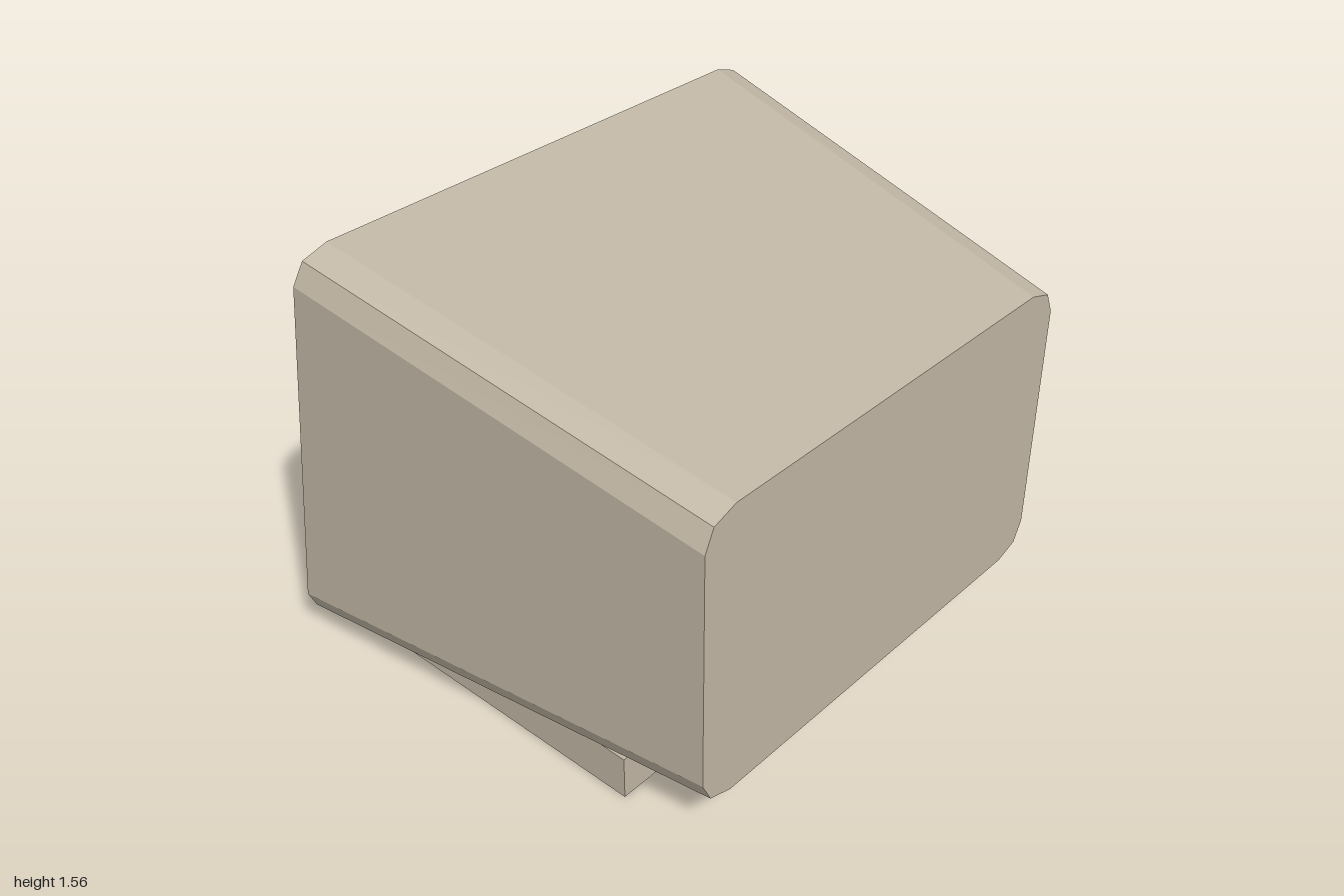
import * as THREE from 'three';

// Depth of the tilted display face at height y, pushed inwards by d
const faceZ = (y, d = 0) => -0.83 + 0.146 * (y - 0.085) + d;
const onFace = (ring, d) => ring.map(([x, y]) => new THREE.Vector3(x, y, faceZ(y, d)));

// Rectangle with two-step bevelled corners, counter-clockwise
function bevelRing(cx, cy, hw, hh) {
  const corner = [[0, 0.105], [0.035, 0.03], [0.125, 0]];
  const ring = [];
  for (const [sx, sy] of [[-1, -1], [1, -1], [1, 1], [-1, 1]]) {
    const pts = corner.map(([a, b]) => [cx + sx * (hw - a), cy + sy * (hh - b)]);
    ring.push(...(sx * sy > 0 ? pts : pts.reverse()));
  }
  return ring;
}

// Barrel-shaped tube outline: s and t run from -1 to 1
const barrel = (o, s, t) => [
  o.x + s * (o.hw + o.bulge * (1 - t * t)),
  o.y + t * (o.hh + o.bulge * (1 - s * s)),
];
function barrelRing(o, n) {
  const ring = [];
  for (let side = 0; side < 4; side++) {
    for (let i = 0; i < n; i++) {
      const k = -1 + (2 * i) / n;
      const [s, t] = [[k, -1], [1, k], [-k, 1], [-1, -k]][side];
      ring.push(barrel(o, s, t));
    }
  }
  return ring;
}

// Band of quads between two closed rings
function band(a, b) {
  const pos = [];
  a.forEach((p, i) => {
    const j = (i + 1) % a.length;
    for (const v of [p, b[i], b[j], p, b[j], a[j]]) pos.push(v.x, v.y, v.z);
  });
  const g = new THREE.BufferGeometry();
  g.setAttribute('position', new THREE.Float32BufferAttribute(pos, 3));
  g.computeVertexNormals();
  return g;
}

// Move every vertex by a rule and turn the sheet to face backwards
function backSheet(g, rule) {
  const p = g.attributes.position;
  for (let i = 0; i < p.count; i++) p.setXYZ(i, ...rule(p.getX(i), p.getY(i)));
  const idx = g.index.array;
  for (let i = 0; i < idx.length; i += 3) [idx[i], idx[i + 1]] = [idx[i + 1], idx[i]];
  g.computeVertexNormals();
  return g;
}

const toShape = (ring, hole) => {
  const s = new THREE.Shape(ring.map((p) => new THREE.Vector2(...p)));
  if (hole) s.holes.push(new THREE.Path(hole.map((p) => new THREE.Vector2(...p))));
  return s;
};

export function createModel() {
  const model = new THREE.Group();
  const casing = new THREE.MeshStandardMaterial({ color: 0xbfb5a3, flatShading: true, side: THREE.DoubleSide });
  casing.name = 'beige casing';
  const glass = new THREE.MeshStandardMaterial({ color: 0x769b84, flatShading: true, side: THREE.DoubleSide });
  glass.name = 'green glass';
  const add = (name, geometry, material = casing) => {
    const m = new THREE.Mesh(geometry, material);
    m.name = name;
    model.add(m);
    return m;
  };

  // Tapered housing, small end at +z and tilted display end at -z
  const smallRing = bevelRing(0.0075, 0.71, 0.8475, 0.53);
  const bigRing = bevelRing(0, 0.8225, 1, 0.7375);
  const smallEnd = smallRing.map(([x, y]) => new THREE.Vector3(x, y, 0.83));
  add('housing', band(smallEnd, onFace(bigRing, 0)));
  add('housingEnd', new THREE.ShapeGeometry(toShape(smallRing))).position.z = 0.83;

  // Outer frame and recess around the display
  const depth = 0.12;
  const opening = [[-0.82, 0.24], [0.82, 0.24], [0.82, 1.405], [-0.82, 1.405]];
  add('displayFrame', backSheet(new THREE.ShapeGeometry(toShape(bigRing, opening)),
    (x, y) => [x, y, faceZ(y)]));
  add('recessWalls', band(onFace(opening, 0), onFace(opening, depth)));

  // Control panel with a barrel-shaped cut-out and sloped surround
  const n = 6;
  const cutout = { x: 0.15, y: 0.82, hw: 0.575, hh: 0.485, bulge: 0.055 };
  const tube = { x: 0.15, y: 0.805, hw: 0.515, hh: 0.385, bulge: 0.055 };
  const glassDepth = depth + 0.11;
  const cutRing = barrelRing(cutout, n);
  add('controlPanel', backSheet(new THREE.ShapeGeometry(toShape(opening, cutRing)),
    (x, y) => [x, y, faceZ(y, depth)]));
  add('screenSurround', band(onFace(cutRing, depth), onFace(barrelRing(tube, n), glassDepth)));

  // Domed faceted screen
  add('screen', backSheet(new THREE.PlaneGeometry(2, 2, n, n), (s, t) => {
    const [x, y] = barrel(tube, s, t);
    return [x, y, faceZ(y, glassDepth - 0.08 * (1 - s * s) * (1 - t * t))];
  }), glass);

  // Two tapered knobs standing square to the panel
  const normal = new THREE.Vector3(0, 0.146, -1).normalize();
  for (const [name, y] of [['upperKnob', 0.88], ['lowerKnob', 0.67]]) {
    const knob = add(name, new THREE.CylinderGeometry(0.038, 0.05, 0.09, 8));
    knob.quaternion.setFromUnitVectors(new THREE.Vector3(0, 1, 0), normal);
    knob.position.set(-0.66, y, faceZ(y, depth)).addScaledVector(normal, 0.04);
  }

  // Plinth
  add('base', new THREE.BoxGeometry(1.66, 0.16, 1.07)).position.set(0.004, 0.08, -0.035);
  return model;
}
